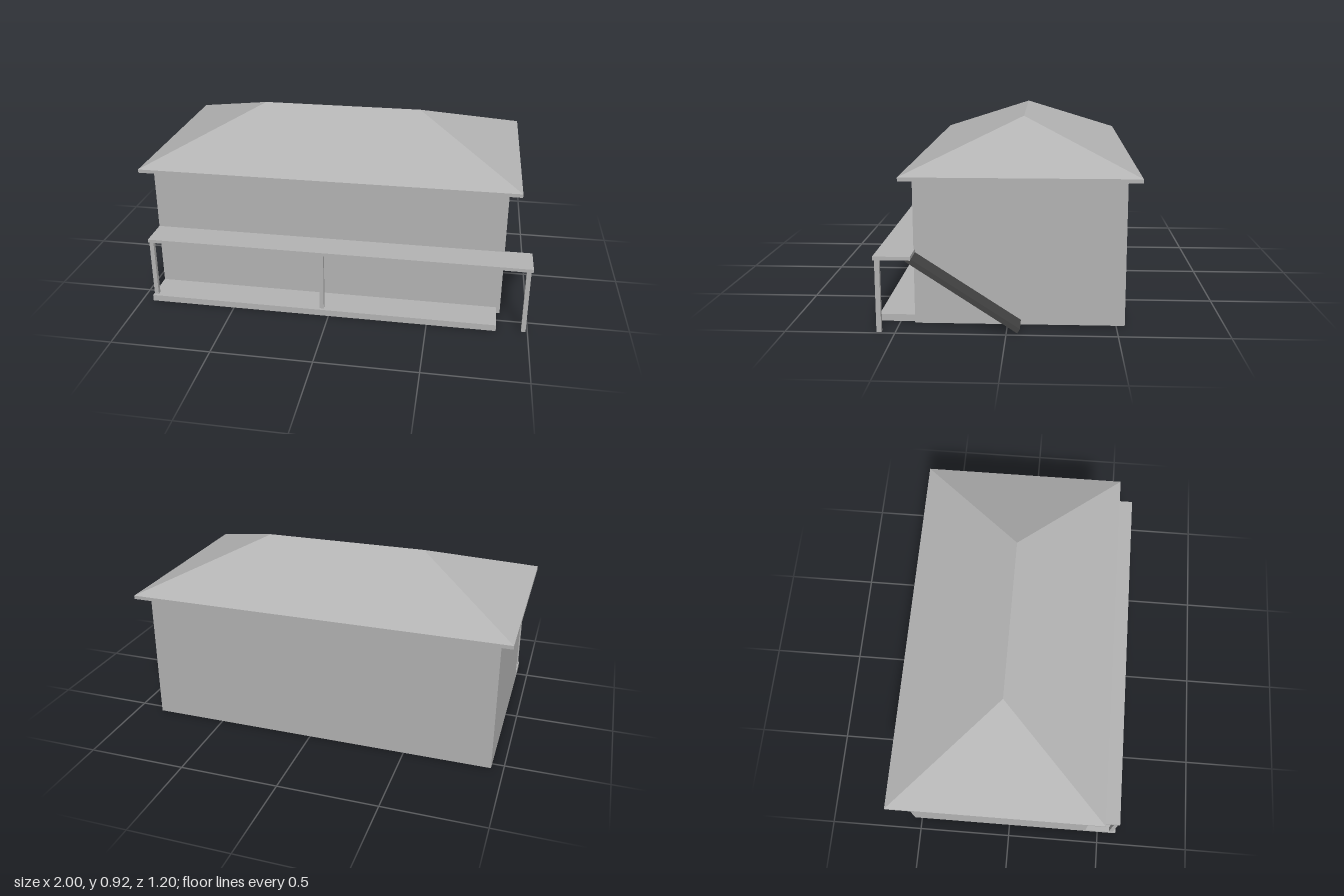
import * as THREE from 'three';

export function createModel() {
  const model = new THREE.Group();
  const plaster = new THREE.MeshStandardMaterial({ color: 0xb4b4b4, side: THREE.DoubleSide });
  plaster.name = 'grey plaster';
  const dark = new THREE.MeshStandardMaterial({ color: 0x424242, side: THREE.DoubleSide });
  dark.name = 'dark stair';

  const add = (name, geometry, material = plaster, parent = model) => {
    const mesh = new THREE.Mesh(geometry, material);
    mesh.name = name;
    parent.add(mesh);
    return mesh;
  };
  // Box given by its low and high corners
  const block = (name, x0, x1, y0, y1, z0, z1, parent) => {
    const g = new THREE.BoxGeometry(x1 - x0, y1 - y0, z1 - z0);
    g.translate((x0 + x1) / 2, (y0 + y1) / 2, (z0 + z1) / 2);
    return add(name, g, plaster, parent);
  };

  // Thin walls, open underneath
  const left = 0.865, right = -0.94, front = 0.43, back = -0.54, wallTop = 0.68;
  const walls = new THREE.Group();
  walls.name = 'walls';
  model.add(walls);
  const wall = (name, width, x, z, turn) => {
    const mesh = add(name, new THREE.PlaneGeometry(width, wallTop), plaster, walls);
    mesh.position.set(x, wallTop / 2, z);
    mesh.rotation.y = turn;
  };
  const midX = (left + right) / 2, midZ = (front + back) / 2;
  wall('frontWall', left - right, midX, front, 0);
  wall('backWall', left - right, midX, back, Math.PI);
  wall('leftWall', front - back, left, midZ, Math.PI / 2);
  wall('rightWall', front - back, right, midZ, -Math.PI / 2);

  // Hipped roof on a flat eave slab
  const roof = new THREE.Group();
  roof.name = 'roof';
  model.add(roof);
  const eaveY = 0.698;
  block('eaveSlab', -1, 0.925, wallTop, eaveY, -0.6, 0.485, roof);
  const a = [-1, eaveY, 0.485], b = [0.925, eaveY, 0.485];
  const c = [0.925, eaveY, -0.6], d = [-1, eaveY, -0.6];
  const r0 = [-0.46, 0.915, -0.058], r1 = [0.385, 0.915, -0.058];
  const corners = [a, b, r1, a, r1, r0, b, c, r1, c, d, r0, c, r0, r1, d, a, r0];
  const hip = new THREE.BufferGeometry();
  hip.setAttribute('position', new THREE.Float32BufferAttribute(corners.flat(), 3));
  hip.computeVertexNormals();
  add('roofSlopes', hip, plaster, roof);

  // Porch floor, balcony deck and posts
  block('porchFloor', -0.94, 0.845, 0, 0.033, front, 0.6);
  block('balconyDeck', -0.94, 1, 0.339, 0.356, 0.423, 0.591);
  for (const x of [-0.925, -0.037, 0.98]) {
    block('post', x - 0.011, x + 0.011, 0, 0.339, 0.563, 0.585);
  }

  // Sloping stair flight beside the left wall, drawn in the z-y plane
  const flight = new THREE.Shape();
  flight.moveTo(0.45, 0.331);
  flight.lineTo(0.447, 0.34);
  flight.lineTo(0.425, 0.342);
  flight.lineTo(-0.062, 0.023);
  flight.lineTo(-0.05, 0.002);
  const stair = new THREE.ExtrudeGeometry(flight, { depth: 0.118, bevelEnabled: false });
  stair.rotateY(-Math.PI / 2);
  stair.translate(0.985, 0, 0);
  add('stair', stair, dark);

  return model;
}
